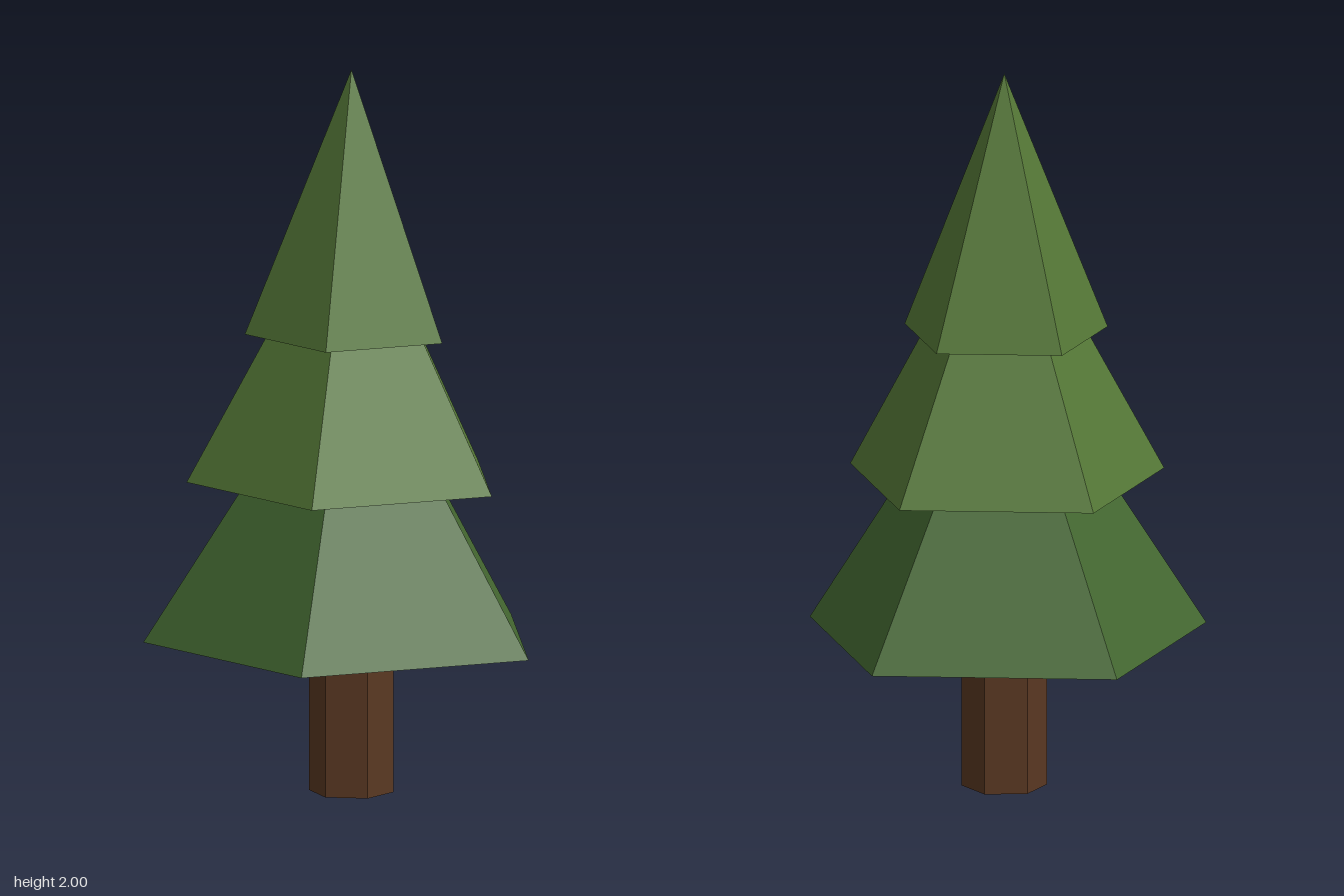
import * as THREE from 'three';

const AXIS_Z = 0.055; // the pentagon's bounds are off-centre from its axis

function material(color) {
  return new THREE.MeshStandardMaterial({ color, flatShading: true });
}

export function createModel() {
  const tree = new THREE.Group();
  tree.name = 'pineTree';

  // Hexagonal trunk, running a little way into the lowest tier
  const trunkHeight = 0.5;
  const trunk = new THREE.Mesh(
    new THREE.CylinderGeometry(0.116, 0.116, trunkHeight, 6),
    material(0x5a3822)
  );
  trunk.name = 'trunk';
  trunk.position.set(0, trunkHeight / 2, AXIS_Z);
  tree.add(trunk);

  // Five-sided foliage cones, one corner pointing to the back
  const tiers = [
    { name: 'lowerFoliage', base: 0.42, apex: 1.31, radius: 0.568, color: 0x446831 },
    { name: 'middleFoliage', base: 0.862, apex: 1.69, radius: 0.45, color: 0x557837 },
    { name: 'upperFoliage', base: 1.27, apex: 2, radius: 0.291, color: 0x557837 },
  ];
  for (const { name, base, apex, radius, color } of tiers) {
    const height = apex - base;
    const tier = new THREE.Mesh(
      new THREE.ConeGeometry(radius, height, 5, 1, false, Math.PI),
      material(color)
    );
    tier.name = name;
    tier.position.set(0, base + height / 2, AXIS_Z);
    tree.add(tier);
  }

  return tree;
}
